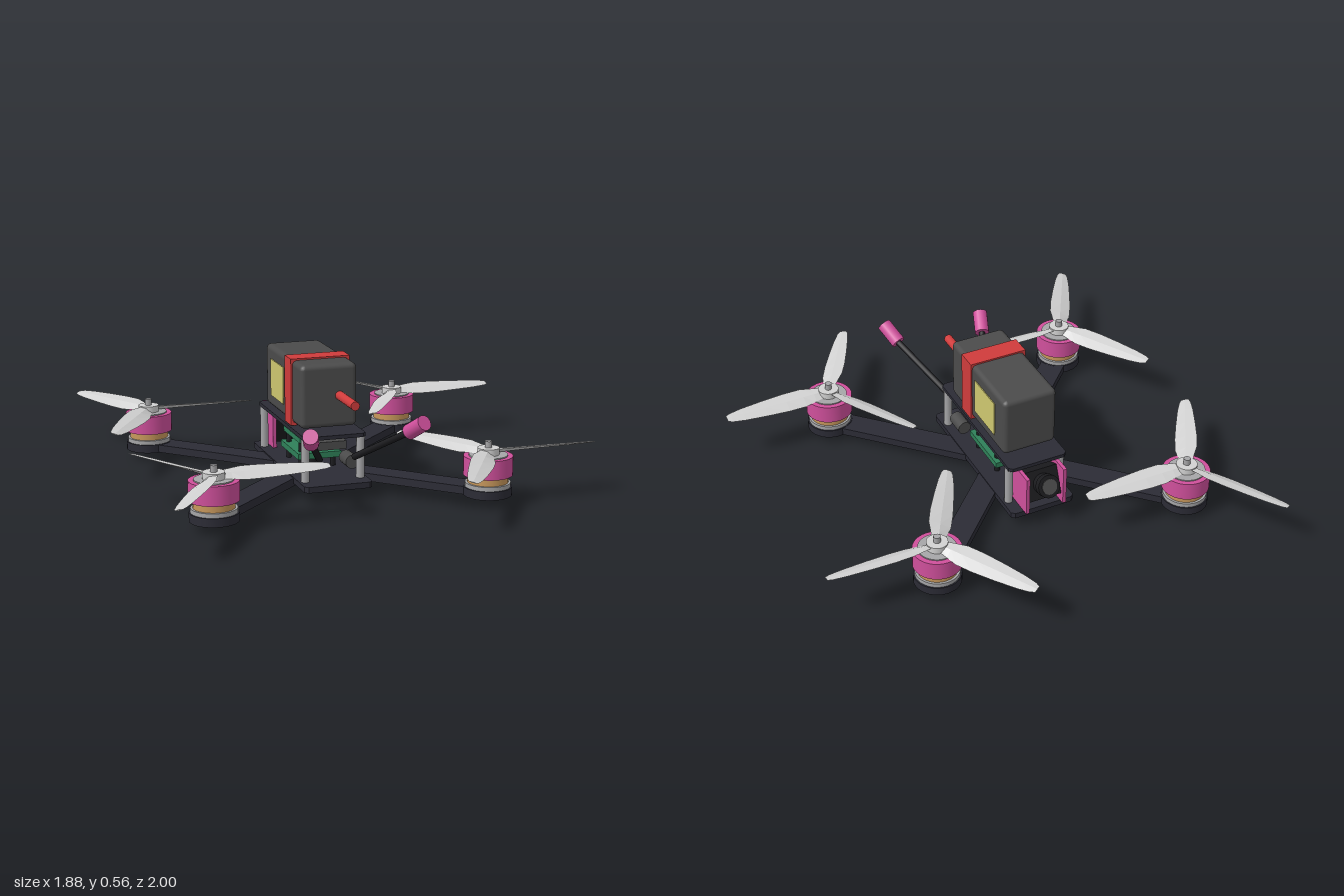
import * as THREE from 'three';
import { RoundedBoxGeometry } from 'three/addons/geometries/RoundedBoxGeometry.js';

const mat = (name, color, side = THREE.FrontSide) => {
  const m = new THREE.MeshStandardMaterial({ color, side });
  m.name = name;
  return m;
};

const CX = -0.114;          // body centre line
const ARM = 0.578;          // motor offset along x and z

export function createModel() {
  const M = {
    carbon: mat('carbon', 0x2b2b35),
    black: mat('black', 0x1b1b1e),
    pink: mat('pink', 0xd0509c),
    red: mat('red', 0xd03c3c),
    battery: mat('battery grey', 0x4b4b4b),
    label: mat('label yellow', 0xcfc870),
    copper: mat('copper', 0xc8985c),
    metal: mat('metal', 0xa6a6a8),
    blade: mat('blade grey', 0xd2d2d2, THREE.DoubleSide),
    green: mat('board green', 0x2f8059),
  };
  const root = new THREE.Group();
  root.name = 'quadcopter';
  const body = new THREE.Group();
  body.name = 'body';
  body.position.x = CX;
  root.add(body);

  const add = (parent, name, geo, material, x = 0, y = 0, z = 0) => {
    const mesh = new THREE.Mesh(geo, material);
    mesh.name = name;
    mesh.position.set(x, y, z);
    parent.add(mesh);
    return mesh;
  };
  const box = (w, h, d) => new THREE.BoxGeometry(w, h, d);
  const cyl = (r, h, n = 24, r2 = r) => new THREE.CylinderGeometry(r2, r, h, n);

  // Flat plate with clipped corners, thickness measured up from y = 0
  const plate = (w, d, c, t) => {
    const s = new THREE.Shape([
      [-w + c, -d], [w - c, -d], [w, -d + c], [w, d - c],
      [w - c, d], [-w + c, d], [-w, d - c], [-w, -d + c],
    ].map(([x, y]) => new THREE.Vector2(x, y)));
    return new THREE.ExtrudeGeometry(s, { depth: t, bevelEnabled: false }).rotateX(-Math.PI / 2);
  };
  // Cylinder between two points
  const rod = (parent, name, a, b, r, material, n = 12) => {
    const p = new THREE.Vector3(...a), q = new THREE.Vector3(...b);
    const mesh = add(parent, name, cyl(r, p.distanceTo(q), n), material);
    mesh.position.copy(p).add(q).multiplyScalar(0.5);
    mesh.quaternion.setFromUnitVectors(new THREE.Vector3(0, 1, 0), q.sub(p).normalize());
  };

  // Frame plates, crossed arms and standoffs
  add(body, 'bottomPlate', plate(0.147, 0.392, 0.015, 0.025), M.carbon, 0, 0.05, 0);
  add(body, 'topPlate', plate(0.135, 0.34, 0.015, 0.016), M.carbon, 0, 0.255, 0);
  for (const s of [-1, 1]) {
    const arm = add(body, 'arm', box(ARM * 2 * Math.SQRT2, 0.034 + s * 0.0005, 0.11), M.carbon, 0, 0.053, 0);
    arm.rotation.y = s * Math.PI / 4;
    for (const z of [-0.3, 0.305])
      add(body, 'standoff', cyl(0.018, 0.18, 12), M.metal, s * 0.12, 0.165, z);
  }
  add(body, 'centreBoltHead', cyl(0.05, 0.036), M.black, 0, 0.018, 0);
  add(body, 'centreBoltStem', cyl(0.029, 0.07), M.black, 0, 0.067, 0);

  // Electronics stack
  add(body, 'lowerBoard', box(0.19, 0.026, 0.26), M.green, 0, 0.132, 0);
  add(body, 'upperBoard', box(0.17, 0.022, 0.235), M.green, 0, 0.198, 0);
  add(body, 'boardChip', box(0.08, 0.02, 0.08), M.black, 0, 0.155, 0);
  for (const x of [-0.07, 0.07])
    for (const z of [-0.09, 0.09])
      add(body, 'stackPost', cyl(0.012, 0.13, 8), M.black, x, 0.135, z);
  add(body, 'transmitter', box(0.15, 0.035, 0.2), M.battery, 0, 0.206, 0.16);
  add(body, 'receiver', box(0.1, 0.022, 0.13), M.black, 0, 0.237, 0.16);
  add(body, 'capacitor', cyl(0.03, 0.09, 16).rotateX(Math.PI / 2), M.battery, 0.1, 0.13, 0.218);

  // Battery pack with strap, side labels and lead
  add(body, 'batteryPack', new RoundedBoxGeometry(0.245, 0.268, 0.514, 2, 0.022), M.battery, 0, 0.417, 0);
  const strapShape = new THREE.Shape();
  const rect = (p, w, h) => {
    p.moveTo(-w, -h); p.lineTo(w, -h); p.lineTo(w, h); p.lineTo(-w, h); p.closePath();
    return p;
  };
  rect(strapShape, 0.129, 0.142);
  strapShape.holes.push(rect(new THREE.Path(), 0.117, 0.13));
  add(body, 'strap', new THREE.ExtrudeGeometry(strapShape, { depth: 0.09, bevelEnabled: false }),
    M.red, 0, 0.416, 0.048);
  for (const s of [-1, 1])
    add(body, 'batteryLabel', box(0.006, 0.16, 0.187), M.label, s * 0.1235, 0.417, -0.077);
  add(body, 'batteryLead', cyl(0.019, 0.21, 16).rotateX(Math.PI / 2), M.red, 0.045, 0.418, 0.353);

  // Tilted camera between two side plates
  for (const s of [-1, 1])
    add(body, 'cameraPlate', box(0.016, 0.178, 0.165), M.pink, s * 0.086, 0.165, -0.333);
  const cam = new THREE.Group();
  cam.name = 'camera';
  cam.position.set(0, 0.165, -0.335);
  cam.rotation.x = 0.4;
  body.add(cam);
  add(cam, 'cameraBody', box(0.15, 0.13, 0.1), M.black);
  add(cam, 'lensBarrel', cyl(0.045, 0.07).rotateX(-Math.PI / 2), M.black, 0, 0, -0.07);
  add(cam, 'lensRim', cyl(0.05, 0.03).rotateX(-Math.PI / 2), M.black, 0, 0, -0.098);
  add(cam, 'lensGlass', cyl(0.034, 0.006).rotateX(-Math.PI / 2), M.battery, 0, 0, -0.114);

  // Antennas with coloured caps
  for (const [start, mid, tip] of [
    [[-0.185, 0.175, 0.345], [-0.293, 0.312, 0.575], [-0.323, 0.362, 0.66]],
    [[-0.035, 0.175, 0.345], [0.098, 0.34, 0.63], [0.13, 0.395, 0.715]],
  ]) {
    rod(root, 'antennaRod', start, mid, 0.014, M.black);
    rod(root, 'antennaCap', mid, tip, 0.032, M.pink, 16);
  }

  // Propeller blade lofted along +x: [radius, half chord, half thickness, pitch]
  const bladeGeo = (dir) => {
    const stations = [
      [0.02, 0.025, 0.009, 0.4], [0.07, 0.036, 0.008, 0.38], [0.12, 0.048, 0.007, 0.35],
      [0.2, 0.049, 0.006, 0.32], [0.3, 0.043, 0.005, 0.3], [0.4, 0.034, 0.004, 0.28],
      [0.455, 0.025, 0.003, 0.26], [0.476, 0.016, 0.002, 0.25],
    ];
    const pos = [], idx = [];
    stations.forEach(([r, w, t, p]) => {
      const c = Math.cos(dir * p), s = Math.sin(dir * p);
      for (const [y, z] of [[t, 0], [0, w], [-t, 0], [0, -w]])
        pos.push(r, y * c - z * s, y * s + z * c);
    });
    for (let i = 0; i < stations.length - 1; i++)
      for (let j = 0; j < 4; j++) {
        const a = i * 4 + j, b = i * 4 + (j + 1) % 4;
        idx.push(a, b, b + 4, a, b + 4, a + 4);
      }
    const e = (stations.length - 1) * 4;
    idx.push(e, e + 1, e + 2, e, e + 2, e + 3);
    const g = new THREE.BufferGeometry();
    g.setAttribute('position', new THREE.Float32BufferAttribute(pos, 3));
    g.setIndex(idx);
    const flat = g.toNonIndexed();
    flat.computeVertexNormals();
    return flat;
  };

  // Four motors, each with a three-blade propeller; spin alternates by corner
  for (const sx of [-1, 1])
    for (const sz of [-1, 1]) {
      const unit = new THREE.Group();
      unit.name = 'motorUnit';
      unit.position.set(CX + sx * ARM, 0, sz * ARM);
      root.add(unit);
      add(unit, 'armEnd', cyl(0.1, 0.036, 32), M.carbon, 0, 0.053, 0);
      add(unit, 'motorBase', cyl(0.094, 0.018, 32), M.metal, 0, 0.08, 0);
      add(unit, 'winding', cyl(0.084, 0.04, 32), M.copper, 0, 0.105, 0);
      add(unit, 'motorBell', cyl(0.102, 0.08, 32), M.pink, 0, 0.16, 0);
      add(unit, 'bellTop', cyl(0.08, 0.006, 32), M.metal, 0, 0.202, 0);
      add(unit, 'hub', cyl(0.045, 0.03, 24), M.blade, 0, 0.218, 0);
      add(unit, 'shaft', cyl(0.015, 0.06, 12), M.metal, 0, 0.23, 0);
      const geo = bladeGeo(-sx * sz);
      for (let k = 0; k < 3; k++)
        add(unit, 'blade', geo, M.blade, 0, 0.218, 0).rotation.y = k * Math.PI * 2 / 3;
    }
  return root;
}
